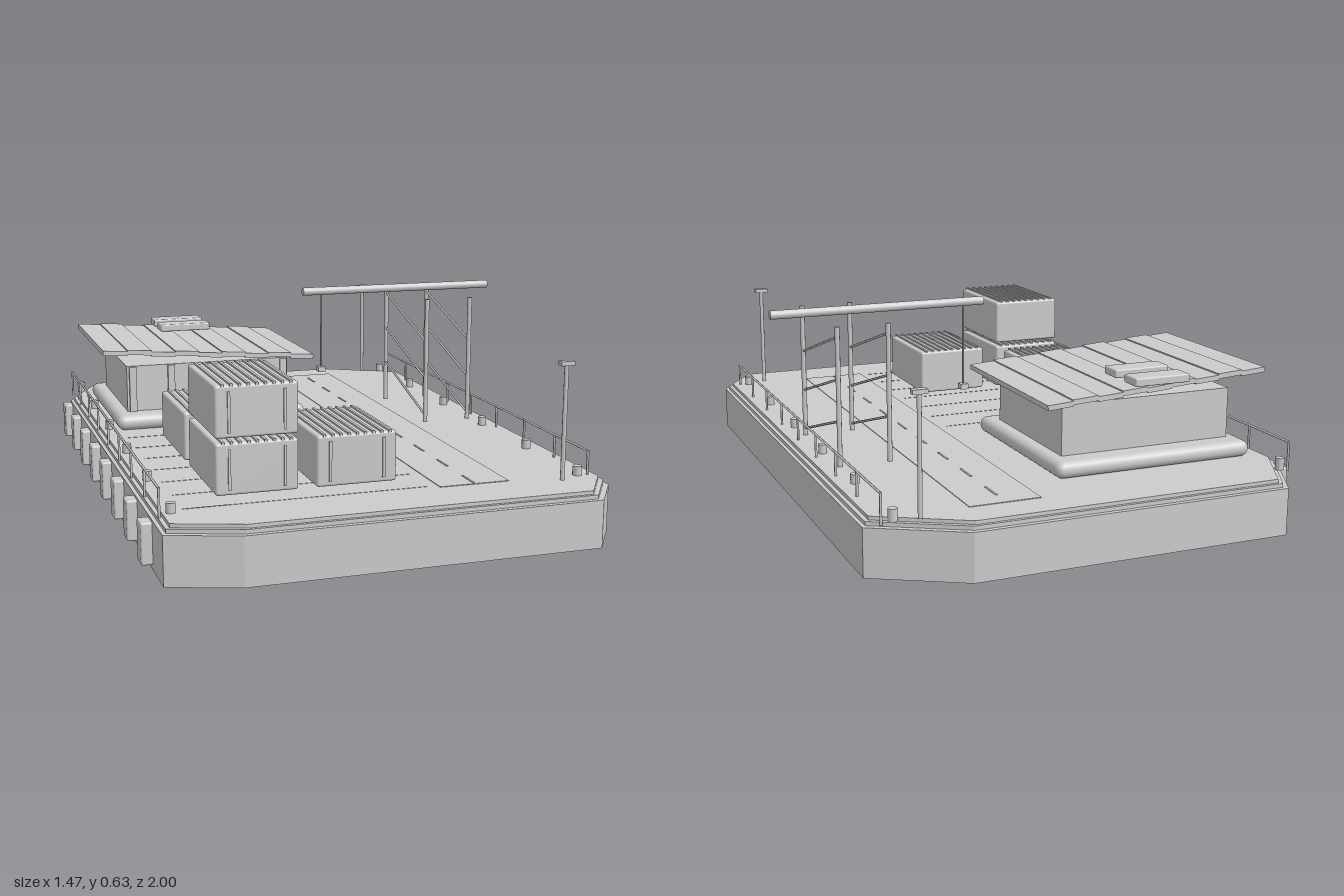
import * as THREE from 'three';
import { RoundedBoxGeometry } from 'three/addons/geometries/RoundedBoxGeometry.js';

const grey = new THREE.MeshStandardMaterial({ color: 0xcccccc });
const DECK = 0.168;

function add(parent, name, geometry, x = 0, y = 0, z = 0) {
  const mesh = new THREE.Mesh(geometry, grey);
  mesh.name = name;
  mesh.position.set(x, y, z);
  parent.add(mesh);
  return mesh;
}

// Box given by its min and max along each axis
function span(parent, name, x0, x1, y0, y1, z0, z1, radius = 0) {
  const size = [x1 - x0, y1 - y0, z1 - z0];
  const geometry = radius ? new RoundedBoxGeometry(...size, 3, radius) : new THREE.BoxGeometry(...size);
  return add(parent, name, geometry, (x0 + x1) / 2, (y0 + y1) / 2, (z0 + z1) / 2);
}

// Round bar between two points
function bar(parent, name, a, b, radius, sides = 8) {
  const from = new THREE.Vector3(...a), to = new THREE.Vector3(...b);
  const dir = to.clone().sub(from);
  const mesh = add(parent, name, new THREE.CylinderGeometry(radius, radius, dir.length(), sides));
  mesh.position.copy(from).add(to).multiplyScalar(0.5);
  mesh.quaternion.setFromUnitVectors(new THREE.Vector3(0, 1, 0), dir.normalize());
  return mesh;
}

function group(parent, name) {
  const g = new THREE.Group();
  g.name = name;
  parent.add(g);
  return g;
}

// Flat plate with the barge outline, shrunk about its centre
function plate(parent, name, sx, sz, y, height) {
  const outline = [[-0.6, -1], [0.4, -1], [0.665, -0.85], [0.665, 0.86], [0.57, 1], [-0.5, 1], [-0.705, 0.93], [-0.71, -0.79]];
  const points = outline.map(([x, z]) => new THREE.Vector2(-0.02 + (x + 0.02) * sx, -z * sz));
  const geometry = new THREE.ExtrudeGeometry(new THREE.Shape(points), { depth: height, bevelEnabled: false });
  geometry.rotateX(-Math.PI / 2);
  return add(parent, name, geometry, 0, y, 0);
}

function container(parent, x, y, z) {
  const c = group(parent, 'container');
  c.position.set(x, y, z);
  span(c, 'containerBody', -0.1225, 0.1225, 0, 0.152, -0.17, 0.17, 0.008);
  // roof ribs and door bars
  for (let i = 0; i < 9; i++) {
    const rx = -0.1 + i * 0.025;
    span(c, 'containerRib', rx - 0.004, rx + 0.004, 0.148, 0.157, -0.165, 0.172);
  }
  for (const px of [-0.082, 0.082]) span(c, 'doorBar', px - 0.004, px + 0.004, 0.015, 0.135, 0.165, 0.174);
}

function cabin(parent) {
  const c = group(parent, 'cabin');
  span(c, 'cabinBase', -0.635, 0.03, DECK, 0.22, -0.748, -0.14, 0.025);
  span(c, 'cabinWalls', -0.59, -0.015, 0.2, 0.378, -0.675, -0.215);
  // pillars along the front wall
  for (let i = 0; i < 5; i++) {
    const x = -0.57 + i * 0.1345;
    span(c, 'wallPillar', x - 0.012, x + 0.012, 0.22, 0.376, -0.22, -0.205);
  }
  // sloping roof of overlapping planks
  const roof = group(c, 'roof');
  roof.position.set(-0.31, 0.416, -0.44);
  roof.rotation.z = -0.07;
  const w = 0.742 / 9;
  for (let i = 0; i < 9; i++) {
    add(roof, 'roofPlank', new THREE.BoxGeometry(w, 0.016, 0.592), (i - 4) * w, i % 2 ? 0.003 : -0.001, 0);
  }
  for (const z of [-0.725, -0.6]) span(c, 'roofUnit', -0.397, -0.213, 0.432, 0.458, z - 0.037, z + 0.037, 0.005);
}

function gantry(parent) {
  const g = group(parent, 'gantry');
  for (const x of [0.417, 0.577]) {
    for (const z of [0.03, -0.36]) bar(g, 'gantryMast', [x, DECK, z], [x, 0.6, z], 0.008);
    for (const y of [0.19, 0.32, 0.45]) bar(g, 'gantryBrace', [x, y, 0.03], [x, y + 0.12, -0.36], 0.004, 6);
  }
  bar(g, 'boom', [0.032, 0.615, -0.178], [0.735, 0.615, -0.178], 0.014, 16);
  bar(g, 'hoistCable', [0.1, 0.605, -0.178], [0.1, 0.34, -0.178], 0.003, 6);
  span(g, 'hoistBlock', 0.087, 0.113, 0.327, 0.345, -0.191, -0.165);
}

export function createModel() {
  const model = new THREE.Group();
  model.name = 'cargoBarge';

  // hull and deck
  plate(model, 'hull', 1, 1, 0, 0.145);
  plate(model, 'deckLip', 0.983, 0.985, 0.145, 0.012);
  plate(model, 'deck', 0.965, 0.975, 0.157, DECK - 0.157);

  // roadway with centre dashes, and deck seams
  span(model, 'roadway', 0.14, 0.36, DECK, DECK + 0.002, -0.865, 0.81);
  for (let i = 0; i < 9; i++) {
    const z = -0.8 + i * 0.19;
    span(model, 'roadDash', 0.247, 0.253, DECK, DECK + 0.004, z, z + 0.08);
  }
  for (let i = 0; i < 7; i++) {
    const z = -0.05 + i * 0.14;
    span(model, 'deckSeam', -0.62, 0.11, DECK, DECK + 0.001, z - 0.002, z + 0.002);
  }

  // cargo
  container(model, -0.388, 0.176, 0.56);
  container(model, -0.388, 0.342, 0.56);
  container(model, -0.088, 0.176, 0.56);
  container(model, -0.388, 0.176, 0.155);

  cabin(model);
  gantry(model);

  // railings
  for (const x of [-0.69, 0.617]) {
    const rail = group(model, 'railing');
    bar(rail, 'handrail', [x, 0.241, 0.815], [x, 0.241, -0.865], 0.004, 6);
    for (let i = 0; i < 9; i++) {
      const z = 0.815 - i * 0.21;
      bar(rail, 'railPost', [x, 0.15, z], [x, 0.243, z], 0.004, 6);
    }
  }

  // bollards
  for (const x of [-0.657, 0.585]) {
    for (let i = 0; i < 6; i++) {
      const z = 0.81 - i * 0.336;
      bar(model, 'bollard', [x, 0.16, z], [x, 0.197, z], 0.014, 12);
    }
  }

  // lamps
  for (const z of [0.845, -0.9]) {
    bar(model, 'lampPole', [0.517, DECK, z], [0.517, 0.518, z], 0.007);
    span(model, 'lampHead', 0.495, 0.539, 0.514, 0.527, z - 0.011, z + 0.011);
  }

  // fenders along one side
  for (let i = 0; i < 8; i++) {
    const z = 0.76 - i * 0.219;
    span(model, 'fender', -0.738, -0.7, 0.015, 0.138, z - 0.03, z + 0.03, 0.006);
  }
  return model;
}
